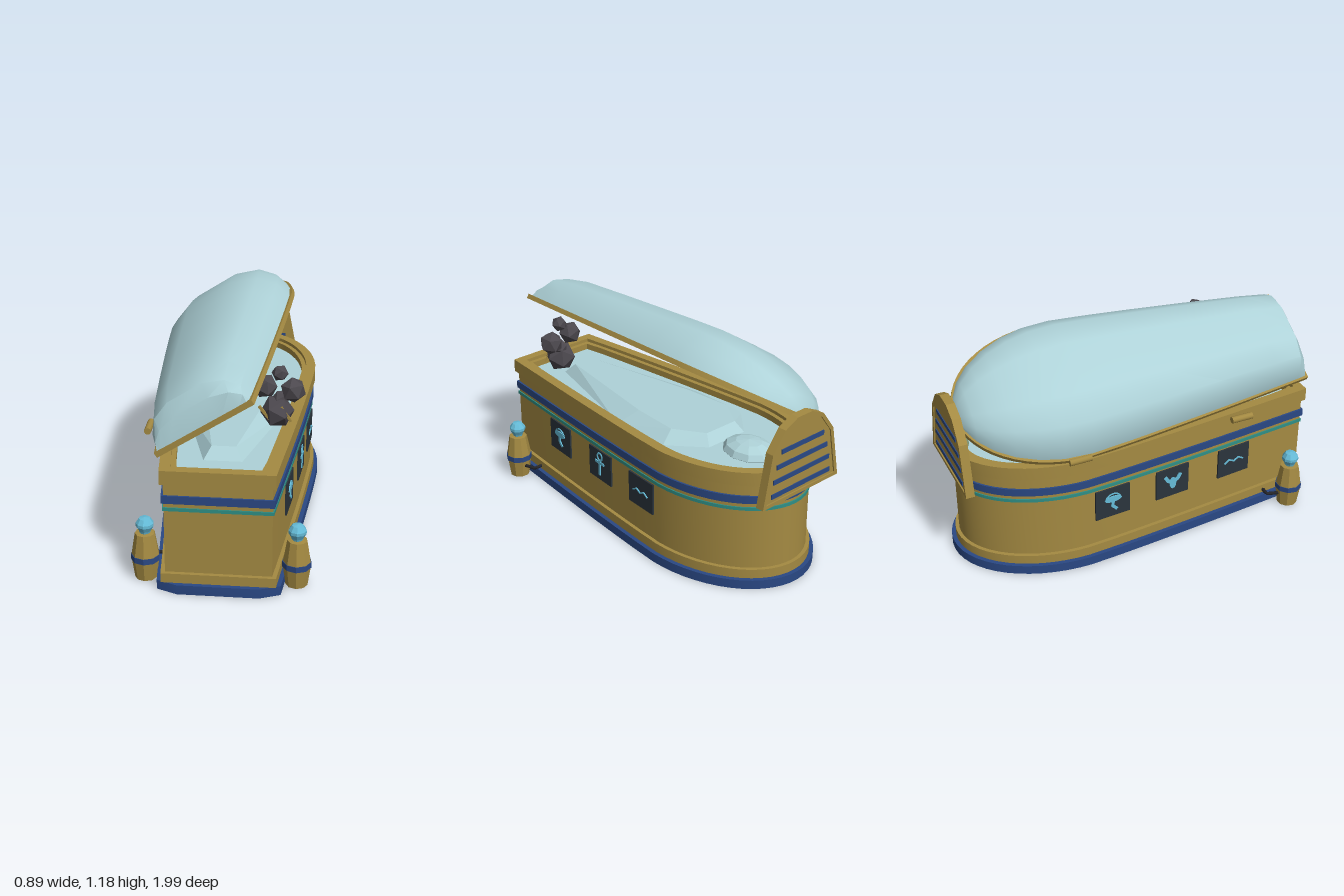
import * as THREE from 'three';
import { toCreasedNormals } from 'three/addons/utils/BufferGeometryUtils.js';
import { ConvexGeometry } from 'three/addons/geometries/ConvexGeometry.js';

const mat = (name, color, side = THREE.FrontSide) => {
  const m = new THREE.MeshStandardMaterial({ color, side });
  m.name = name;
  return m;
};

export function createModel() {
  const model = new THREE.Group();
  model.name = 'sarcophagus';
  const gold = mat('gold', 0xa48a42), blue = mat('blue', 0x2a4884), teal = mat('teal', 0x2f8f86);
  const pale = mat('paleStone', 0xaed2d8, THREE.DoubleSide), slate = mat('slate', 0x2b343c);
  const cyan = mat('cyan', 0x66bcd8), green = mat('green', 0x8fa680), rock = mat('rock', 0x4c484e);
  const ink = mat('ink', 0x26262a);

  const add = (parent, name, geo, material, x = 0, y = 0, z = 0) => {
    const mesh = new THREE.Mesh(geo, material);
    mesh.name = name;
    mesh.position.set(x, y, z);
    parent.add(mesh);
    return mesh;
  };
  const flat = (geo) => {
    const g = geo.index ? geo.toNonIndexed() : geo;
    g.computeVertexNormals();
    return g;
  };

  // Plan outline: tapered sides, square foot end, rounded head end; d grows it outward
  const FRONT = 0.955, WIDE = -0.38;
  const halfWidth = (z, d = 0) => {
    if (z > WIDE) return d + 0.385 - 0.125 * Math.pow((z - WIDE) / (FRONT - WIDE), 1.2);
    const k = (WIDE - z) / (0.57 + d);
    return (0.385 + d) * Math.sqrt(Math.max(0, 1 - k * k));
  };
  const outline = (d, chamfer = false) => {
    const side = [];
    if (chamfer) side.push([0.2, FRONT + d], [0.26 + d, FRONT]);
    else side.push([0.26 + d, FRONT + d]);
    for (let i = 1; i <= 8; i++) {
      const z = FRONT + (WIDE - FRONT) * i / 8;
      side.push([halfWidth(z, d), z]);
    }
    for (let i = 1; i <= 14; i++) {
      const a = i / 14 * Math.PI / 2;
      side.push([(0.385 + d) * Math.cos(a), WIDE - (0.57 + d) * Math.sin(a)]);
    }
    const other = side.slice(0, -1).reverse().map(([x, z]) => [-x, z]);
    return [...side, ...other].map(([x, z]) => new THREE.Vector2(x, -z));
  };
  const slab = (parent, name, material, d, y0, y1, hole = null, chamfer = false) => {
    const shape = new THREE.Shape(outline(d, chamfer));
    if (hole !== null) shape.holes.push(new THREE.Path(outline(hole)));
    const geo = new THREE.ExtrudeGeometry(shape, { depth: y1 - y0, bevelEnabled: false });
    geo.rotateX(-Math.PI / 2);
    return add(parent, name, toCreasedNormals(geo, 0.5), material, 0, y0, 0);
  };

  // Coffin
  slab(model, 'base', blue, 0.042, 0, 0.05, null, true);
  slab(model, 'plinth', gold, 0.02, 0.05, 0.1);
  slab(model, 'body', gold, 0, 0.1, 0.58);
  slab(model, 'tealBand', teal, 0.006, 0.434, 0.452);
  slab(model, 'blueBand', blue, 0.01, 0.475, 0.516);
  slab(model, 'rim', gold, 0.016, 0.578, 0.65, -0.035);
  slab(model, 'innerLedge', gold, -0.03, 0.578, 0.632, -0.06);
  slab(model, 'bed', pale, -0.055, 0.57, 0.598);

  // Wrapped body lying in the coffin
  const wrap = [];
  for (const s of [-1, 1]) {
    for (const [x, z] of [[0.1, 0.74], [0.16, 0.45], [0.29, 0.05], [0.29, -0.3], [0.13, -0.48]]) wrap.push(new THREE.Vector3(s * x, 0.59, z));
    for (const [x, z] of [[0.06, 0.68], [0.18, 0], [0.2, -0.27], [0.1, -0.43]]) wrap.push(new THREE.Vector3(s * x, 0.653, z));
  }
  add(model, 'wrappedBody', flat(new ConvexGeometry(wrap)), pale);
  const head = add(model, 'wrappedHead', flat(new THREE.SphereGeometry(1, 10, 6)), pale, 0, 0.6, -0.63);
  head.scale.set(0.12, 0.062, 0.15);

  // Lid, swung open on its right-hand edge
  const lid = new THREE.Group();
  lid.name = 'lid';
  lid.position.set(-0.395, 0.655, 0);
  lid.rotation.z = 0.569;
  const lidBody = new THREE.Group();
  lidBody.name = 'lidBody';
  lidBody.position.x = 0.395;
  lid.add(lidBody);
  model.add(lid);
  slab(lidBody, 'lidRim', gold, 0.008, -0.012, 0.014, -0.022);
  const half = [[1, 0], [0.92, 0.42], [0.73, 0.76], [0.36, 0.97]];
  const profile = [...half, ...half.slice().reverse().map(([x, y]) => [-x, y])];
  const stations = [[0.955, 0], [0.94, 0.12], [0.9, 0.185], [0.73, 0.213], [0.4, 0.226], [0.1, 0.236], [-0.15, 0.244],
    [-0.35, 0.248], [-0.5, 0.238], [-0.62, 0.218], [-0.73, 0.185], [-0.82, 0.147], [-0.89, 0.1], [-0.93, 0.06], [-0.949, 0]];
  const pos = [], idx = [], n = profile.length;
  stations.forEach(([z, h], i) => {
    for (const [x, y] of profile) pos.push(x * halfWidth(z), y * h, z);
    if (i) for (let j = 0; j < n - 1; j++) {
      const a = (i - 1) * n + j, b = a + n;
      idx.push(a, b, a + 1, a + 1, b, b + 1);
    }
  });
  const shell = new THREE.BufferGeometry();
  shell.setAttribute('position', new THREE.Float32BufferAttribute(pos, 3));
  shell.setIndex(idx);
  add(lidBody, 'lidShell', toCreasedNormals(shell.toNonIndexed(), 0.55), pale);

  // Hinges
  for (const z of [0.5, -0.42]) {
    add(model, 'hinge', new THREE.CylinderGeometry(0.018, 0.018, 0.12, 10), gold, -0.395, 0.658, z).rotation.x = Math.PI / 2;
  }

  // Thin strokes through a list of points, used for painted details
  const stroke = (parent, name, material, pts, w, z = 0) => {
    for (let i = 1; i < pts.length; i++) {
      const [x0, y0] = pts[i - 1], [x1, y1] = pts[i];
      const geo = new THREE.BoxGeometry(Math.hypot(x1 - x0, y1 - y0) + w * 0.3, w, 0.008);
      add(parent, name, geo, material, (x0 + x1) / 2, (y0 + y1) / 2, z).rotation.z = Math.atan2(y1 - y0, x1 - x0);
    }
  };
  const disc = (parent, name, material, x, y, z, rx, ry) => {
    const m = add(parent, name, new THREE.CylinderGeometry(1, 1, 0.008, 12).rotateX(Math.PI / 2), material, x, y, z);
    m.scale.set(rx, ry, 1);
  };

  // Headboard with stripes on both faces
  const boardPts = [[0.27, 0.51], [0.215, 0.79], [0.135, 0.895], [0.05, 0.935]];
  const boardOutline = (k) => [...boardPts, ...boardPts.slice().reverse().map(([x, y]) => [-x, y])]
    .map(([x, y]) => new THREE.Vector2(x * k, 0.72 + (y - 0.72) * k));
  const board = new THREE.ExtrudeGeometry(new THREE.Shape(boardOutline(1)), { depth: 0.032, bevelEnabled: false });
  add(model, 'headboard', board, gold, 0, 0, -0.979);
  const trim = new THREE.Shape(boardOutline(1));
  trim.holes.push(new THREE.Path(boardOutline(0.91)));
  add(model, 'headboardTrim', new THREE.ExtrudeGeometry(trim, { depth: 0.046, bevelEnabled: false }), gold, 0, 0, -0.986);
  [[0.785, 0.15], [0.71, 0.18], [0.635, 0.2], [0.56, 0.21]].forEach(([y, w]) => {
    for (const z of [-0.946, -0.98]) add(model, 'headboardStripe', new THREE.BoxGeometry(w * 2, 0.025, 0.008), blue, 0, y, z);
  });

  // Face mask
  const mask = new THREE.Group();
  mask.name = 'mask';
  mask.position.set(0, 0.74, -0.93);
  model.add(mask);
  const maskHalf = [[0.045, -0.085], [0.072, -0.05], [0.072, 0.045], [0.042, 0.075], [0, 0.08]];
  const maskShape = new THREE.Shape([...maskHalf, ...maskHalf.slice(0, -1).reverse().map(([x, y]) => [-x, y])].map(([x, y]) => new THREE.Vector2(x, y)));
  add(mask, 'face', new THREE.ExtrudeGeometry(maskShape, { depth: 0.028, bevelSize: 0.011, bevelThickness: 0.011, bevelSegments: 1 }), green);
  for (const s of [-1, 1]) {
    disc(mask, 'eye', ink, s * 0.034, 0.013, 0.038, 0.017, 0.012);
    stroke(mask, 'brow', ink, [[s * 0.016, 0.036], [s * 0.052, 0.046]], 0.009, 0.038);
  }
  stroke(mask, 'nose', green, [[0, 0.01], [0, -0.02]], 0.014, 0.04);
  stroke(mask, 'mouth', ink, [[-0.04, -0.04], [-0.018, -0.051], [0.018, -0.051], [0.04, -0.04]], 0.007, 0.038);

  // Side panels, each with a simple relief
  const arc = (cx, cy, r, a0, a1, k = 6) => Array.from({ length: k + 1 }, (_, i) => {
    const a = a0 + (a1 - a0) * i / k;
    return [cx + r * Math.cos(a), cy + r * Math.sin(a)];
  });
  const reliefs = {
    eye: (p) => {
      stroke(p, 'reliefBrow', cyan, arc(0, 0.005, 0.05, 0.6, 2.54), 0.005, 0.008);
      disc(p, 'reliefEye', cyan, 0, 0.022, 0.008, 0.05, 0.018);
      stroke(p, 'reliefTail', cyan, [[0, 0.01], [-0.005, -0.02], [0.02, -0.045]], 0.016, 0.008);
    },
    loopCross: (p) => {
      add(p, 'reliefLoop', new THREE.TorusGeometry(0.022, 0.007, 5, 12), cyan, 0, 0.052, 0.004);
      stroke(p, 'reliefStem', cyan, [[0, 0.03], [0, -0.055]], 0.016, 0.008);
      stroke(p, 'reliefArms', cyan, [[-0.038, 0.018], [0.038, 0.018]], 0.014, 0.008);
    },
    bird: (p) => {
      disc(p, 'reliefBirdBody', cyan, 0, -0.005, 0.008, 0.02, 0.035);
      for (const s of [-1, 1]) stroke(p, 'reliefWing', cyan, [[0, 0], [s * 0.03, 0.015], [s * 0.045, 0.04]], 0.02, 0.008);
    },
    wave: (p) => stroke(p, 'reliefWave', cyan, [[-0.06, -0.004], [-0.03, 0.014], [0, -0.002], [0.03, 0.014], [0.06, -0.004]], 0.007, 0.008),
  };
  for (const s of [1, -1]) {
    const order = ['eye', s > 0 ? 'loopCross' : 'bird', 'wave'];
    [0.51, 0.12, -0.24].forEach((z, i) => {
      const panel = new THREE.Group();
      panel.name = 'sidePanel';
      const slope = (halfWidth(z + 0.1) - halfWidth(z - 0.1)) / 0.2;
      panel.position.set(s * (halfWidth(z) + 0.003), 0.335, z);
      panel.rotation.y = Math.atan2(s, -slope);
      add(panel, 'panelPlate', new THREE.BoxGeometry(0.2, 0.175, 0.012), slate);
      reliefs[order[s > 0 ? i : 2 - i]](panel);
      model.add(panel);
    });
  }

  // Jars beside the foot end, with a bracket to the coffin
  const lathe = (pts, sides) => flat(new THREE.LatheGeometry(pts.map(([r, y]) => new THREE.Vector2(r, y)), sides));
  for (const s of [1, -1]) {
    const jar = new THREE.Group();
    jar.name = 'jar';
    jar.position.set(s * 0.373, 0, 0.84);
    add(jar, 'jarBody', lathe([[0, 0], [0.055, 0], [0.069, 0.1], [0.069, 0.13], [0.05, 0.245], [0, 0.25]], 9), gold);
    add(jar, 'jarBand', lathe([[0.066, 0.1], [0.0725, 0.1], [0.0725, 0.13], [0.066, 0.13]], 9), blue);
    add(jar, 'jarStopper', lathe([[0.026, 0.245], [0.03, 0.258], [0.045, 0.285], [0.045, 0.3], [0.028, 0.325], [0, 0.33]], 9), cyan);
    const path = new THREE.CurvePath();
    const p = [[0, -0.05], [-0.02 * s, -0.12], [-0.09 * s, -0.12]].map(([x, z]) => new THREE.Vector3(x, 0.068, z));
    path.add(new THREE.LineCurve3(p[0], p[1]));
    path.add(new THREE.LineCurve3(p[1], p[2]));
    add(jar, 'jarBracket', new THREE.TubeGeometry(path, 8, 0.01, 6), ink);
    model.add(jar);
  }

  // Floating rubble and gold splinters
  [[0.26, 0.995, 0.555, 0.042], [0.19, 0.925, 0.555, 0.062], [0.325, 0.905, 0.545, 0.065], [0.25, 0.8, 0.565, 0.084], [0.265, 0.86, 0.55, 0.045]].forEach(([x, y, z, r], i) => {
    add(model, 'rubble', new THREE.IcosahedronGeometry(r, 0), rock, x, y, z).rotation.set(i * 1.3, i * 0.7 + 0.4, i * 2.1);
  });
  for (const [x, y, a] of [[0.192, 0.805, -0.9], [0.295, 0.805, -1.0]]) {
    add(model, 'splinter', new THREE.BoxGeometry(0.09, 0.013, 0.013), gold, x, y, 0.61).rotation.z = a;
  }
  return model;
}
